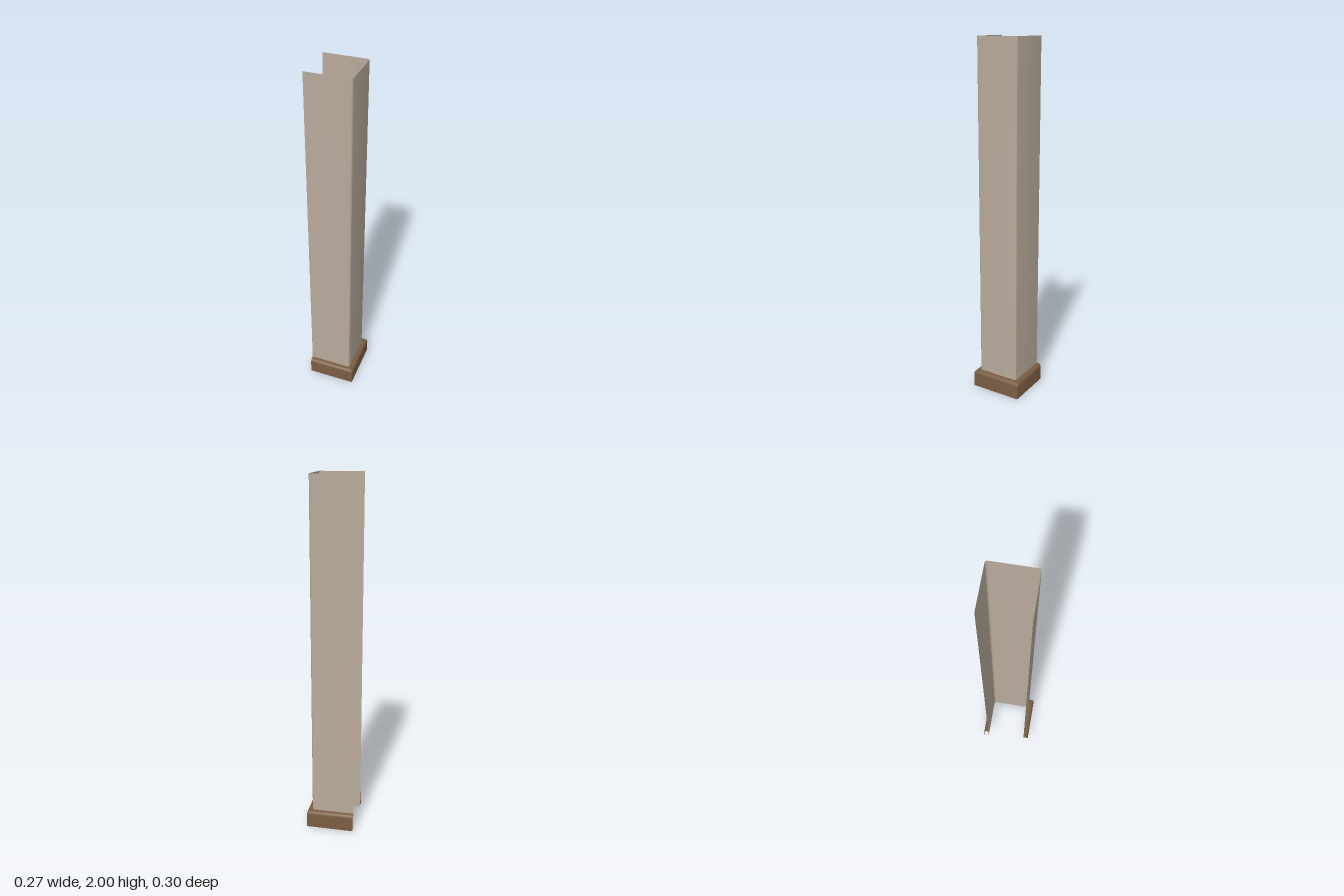
import * as THREE from 'three';
import { toCreasedNormals } from 'three/addons/utils/BufferGeometryUtils.js';

const OPEN_X = -0.137;  // open side of the channel
const WALL_X = 0.108;   // closed side of the channel
const WALL_Z = 0.121;   // half width of the channel
const CORNER_STEPS = 6;

// U-shaped outline, pushed outward by `offset`, with corners of radius r
function outline(offset, r) {
  const x = WALL_X + offset, z = WALL_Z + offset;
  const points = [[OPEN_X, z]];
  for (const [side, start] of [[1, Math.PI / 2], [-1, 0]]) {
    for (let i = 0; i <= CORNER_STEPS; i++) {
      const a = start - (i / CORNER_STEPS) * Math.PI / 2;
      points.push([x - r + r * Math.cos(a), side * (z - r) + r * Math.sin(a)]);
    }
  }
  points.push([OPEN_X, -z]);
  return points;
}

// Skin a surface over outlines listed from bottom to top
function sweep(sections) {
  const positions = [], index = [];
  let n = 0;
  sections.forEach(({ offset, y, r }, j) => {
    const points = outline(offset, r);
    n = points.length;
    for (const [x, z] of points) positions.push(x, y, z);
    if (j === 0) return;
    for (let i = 0; i < n - 1; i++) {
      const a = (j - 1) * n + i, b = a + 1, c = b + n, d = a + n;
      index.push(a, b, c, a, c, d);
    }
  });
  const geometry = new THREE.BufferGeometry();
  geometry.setAttribute('position', new THREE.Float32BufferAttribute(positions, 3));
  geometry.setIndex(index);
  return toCreasedNormals(geometry, Math.PI / 6);
}

function part(name, geometry, color) {
  const material = new THREE.MeshStandardMaterial({ color, side: THREE.DoubleSide });
  const mesh = new THREE.Mesh(geometry, material);
  mesh.name = name;
  return mesh;
}

export function createModel() {
  const group = new THREE.Group();
  group.name = 'wallColumnWithBaseboard';

  // Tall thin channel, open on one side and at both ends
  const wall = sweep([0, 2].map((y) => ({ offset: 0, y, r: 0.012 })));
  group.add(part('wall', wall, 0xb8ab9b));

  // Baseboard shell with a rounded top edge, open underneath
  const depth = 0.028, height = 0.1, round = 0.02;
  const profile = [{ offset: depth, y: 0, r: 0.005 }];
  for (let i = 0; i <= 8; i++) {
    const a = (i / 8) * Math.PI / 2;
    profile.push({
      offset: depth - round + round * Math.cos(a),
      y: height - round + round * Math.sin(a),
      r: 0.005 + 0.004 * (i / 8),
    });
  }
  profile.push({ offset: 0, y: height, r: 0.012 });
  group.add(part('baseboard', sweep(profile), 0x7a5c42));

  return group;
}
